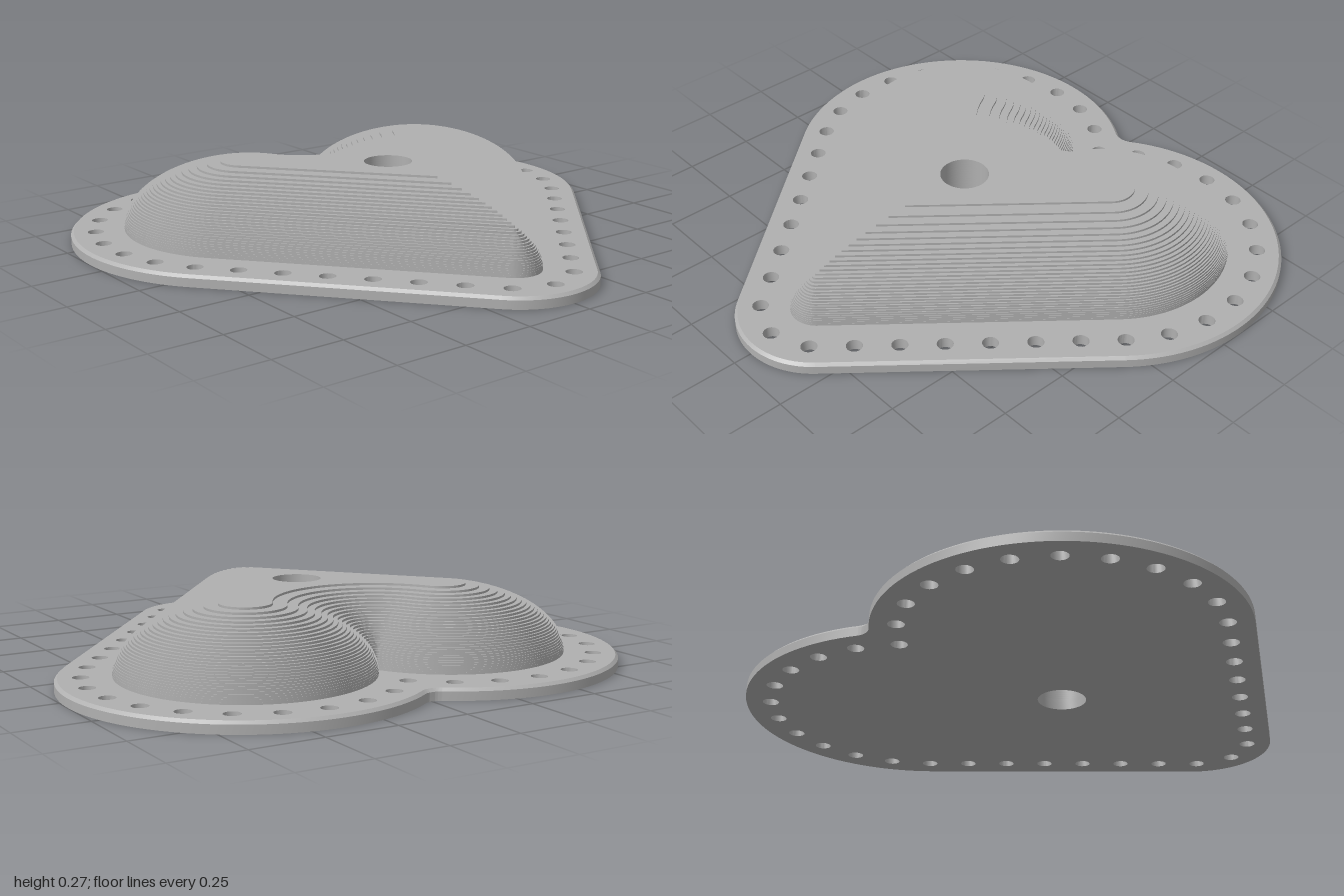
import * as THREE from 'three';
import { toCreasedNormals } from 'three/addons/utils/BufferGeometryUtils.js';

const LOBE = new THREE.Vector2(0.385, -0.325), LOBE_R = 0.43;
const TIP_Z = 0.655, TIP_R = 0.095;
const BASE_H = 0.04, TOP = 0.27, CHAMFER = 0.01;

// Points on an arc in the ground plane (x, z)
function arc(cx, cz, r, a0, a1, n) {
  return Array.from({ length: n + 1 }, (_, i) => {
    const a = a0 + (a1 - a0) * i / n;
    return new THREE.Vector2(cx + r * Math.cos(a), cz + r * Math.sin(a));
  });
}

// Right half of the heart, cleft to tip, offset outwards by d, with cleft fillet radius f
function halfHeart(d, f) {
  const R = LOBE_R + d, r = TIP_R + d;
  const cleftZ = LOBE.y - Math.sqrt((R + f) ** 2 - LOBE.x ** 2);
  const toLobe = Math.atan2(LOBE.y - cleftZ, LOBE.x);
  const dx = -LOBE.x, dz = TIP_Z - LOBE.y;
  const side = Math.atan2(dz, dx) - Math.acos((LOBE_R - TIP_R) / Math.hypot(dx, dz));
  const pts = f > 0 ? arc(0, cleftZ, f, Math.PI / 2, toLobe, 12).slice(0, -1) : [];
  pts.push(...arc(LOBE.x, LOBE.y, R, toLobe - Math.PI, side, 56));
  if (r > 0.001) pts.push(...arc(0, TIP_Z, r, side, Math.PI / 2, 14));
  else pts.push(new THREE.Vector2(0, TIP_Z + r / Math.sin(side)));
  pts[0].x = 0;
  pts[pts.length - 1].x = 0;
  return pts;
}

// Closed heart outline
function heart(d, f = Math.max(0, -d)) {
  const half = halfHeart(d, f);
  const mirrored = half.slice(1, -1).reverse().map(p => new THREE.Vector2(-p.x, p.y));
  return [...half, ...mirrored];
}

// Upright slab from an outline with round holes [x, z, radius]
function slab(outline, holes, y, height) {
  const shape = new THREE.Shape(outline.map(p => new THREE.Vector2(p.x, -p.y)));
  for (const [x, z, r] of holes) {
    shape.holes.push(new THREE.Path(arc(x, -z, r, 0, Math.PI * 2, r > 0.05 ? 48 : 20).slice(0, -1)));
  }
  const geo = new THREE.ExtrudeGeometry(shape, { depth: height, bevelEnabled: false });
  geo.rotateX(-Math.PI / 2).translate(0, y, 0);
  return toCreasedNormals(geo, 0.5);
}

// Band joining loops of equal length, listed from top to bottom
function band(loops) {
  const n = loops[0].pts.length, pos = [], index = [];
  for (const { pts, y } of loops) for (const p of pts) pos.push(p.x, y, p.y);
  for (let j = 0; j < loops.length - 1; j++) {
    for (let i = 0; i < n; i++) {
      const k = (i + 1) % n, a = j * n + i, b = j * n + k;
      index.push(a, b, b + n, a, b + n, a + n);
    }
  }
  const geo = new THREE.BufferGeometry();
  geo.setAttribute('position', new THREE.Float32BufferAttribute(pos, 3));
  geo.setIndex(index);
  return toCreasedNormals(geo, 0.5);
}

export function createModel() {
  const model = new THREE.Group();
  model.name = 'heartCover';
  const grey = new THREE.MeshStandardMaterial({ color: 0xb0b0b0 });
  grey.name = 'grey';
  const add = (parent, name, geo) => {
    const mesh = new THREE.Mesh(geo, grey);
    mesh.name = name;
    parent.add(mesh);
  };
  const centreHole = [0, 0, 0.085];

  // Evenly spaced rim holes, mirrored left and right
  const row = new THREE.Path(halfHeart(0.1, 0)).getSpacedPoints(19);
  const rimHoles = [];
  row.forEach((p, i) => {
    rimHoles.push([p.x, p.y, 0.028]);
    if (i > 0 && i < 19) rimHoles.push([-p.x, p.y, 0.028]);
  });

  // Flange plate and its chamfered edge
  const outer = heart(0.185, 0.06), inner = heart(0.185 - CHAMFER, 0.06 + CHAMFER);
  add(model, 'flangePlate', slab(inner, [centreHole, ...rimHoles], 0, BASE_H));
  add(model, 'flangeEdge', band([
    { pts: inner, y: BASE_H }, { pts: outer, y: BASE_H - CHAMFER },
    { pts: outer, y: 0 }, { pts: inner, y: 0 },
  ]));

  // Dome of stacked layers, each inset along an elliptical profile
  const dome = new THREE.Group();
  dome.name = 'steppedDome';
  model.add(dome);
  const layers = 30, step = (TOP - BASE_H) / layers;
  for (let i = 0; i < layers; i++) {
    const inset = 0.46 * (1 - Math.sqrt(1 - (i / layers) ** 2));
    add(dome, 'domeLayer' + (i + 1), slab(heart(-inset), [centreHole], BASE_H + i * step, step));
  }
  return model;
}
